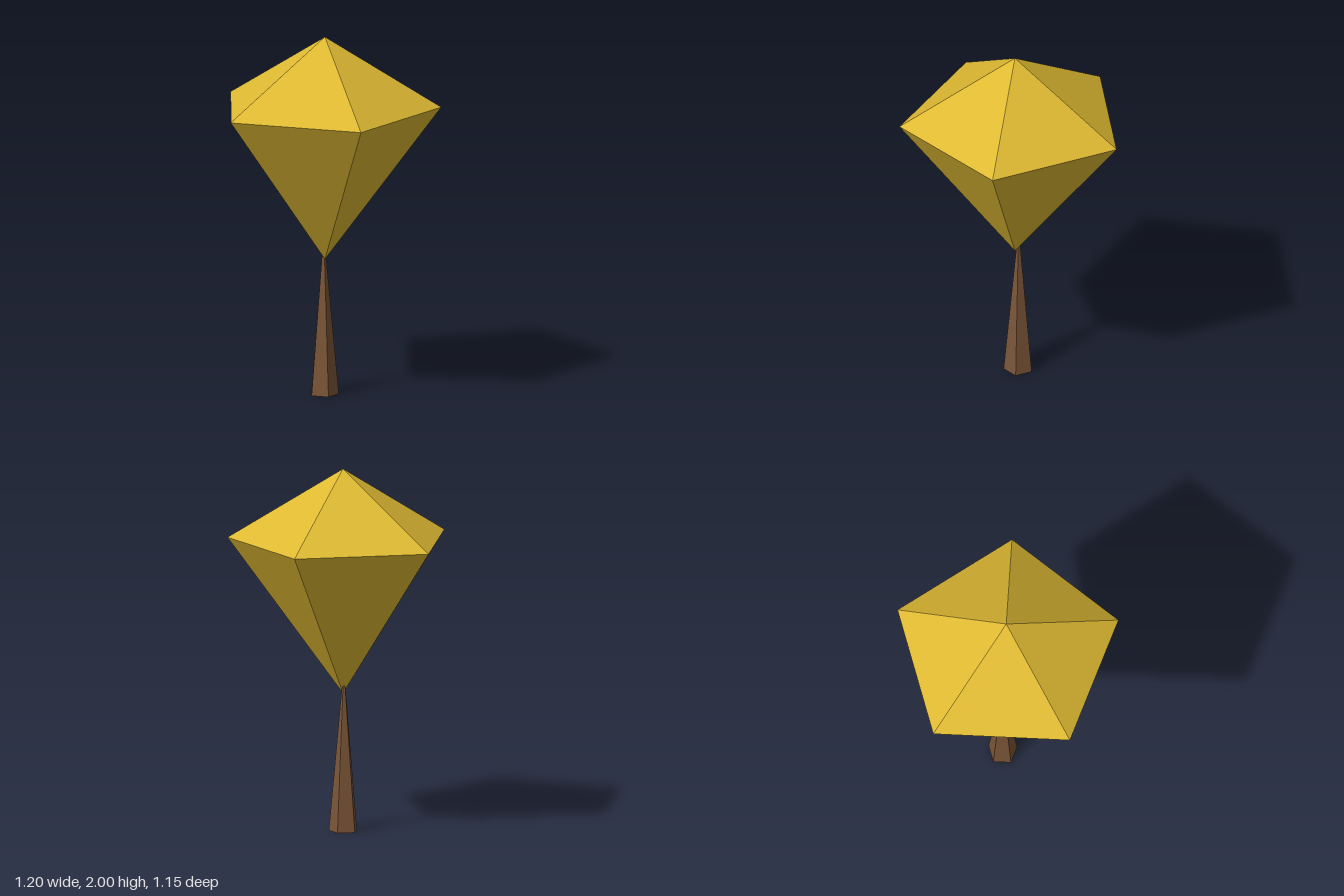
import * as THREE from 'three';

const SIDES = 5;

export function createModel() {
  const model = new THREE.Group();
  model.name = 'tree';

  const foliage = new THREE.MeshStandardMaterial({ color: 0xdeb932, flatShading: true });
  foliage.name = 'golden foliage';
  const bark = new THREE.MeshStandardMaterial({ color: 0x7a5538, flatShading: true });
  bark.name = 'brown bark';

  // Crown: five-sided double pyramid, one corner facing the front
  const profile = [[0, 0.757], [0.633, 1.607], [0, 2]].map(([r, y]) => new THREE.Vector2(r, y));
  const crown = new THREE.Mesh(new THREE.LatheGeometry(profile, SIDES), foliage);
  crown.name = 'crown';
  crown.position.z = -0.062;
  model.add(crown);

  // Trunk: slender tapered five-sided column, its tip tucked into the crown
  const height = 0.82;
  const trunk = new THREE.Mesh(new THREE.CylinderGeometry(0.008, 0.082, height, SIDES), bark);
  trunk.name = 'trunk';
  trunk.position.set(0, height / 2, -0.082);
  model.add(trunk);

  return model;
}
